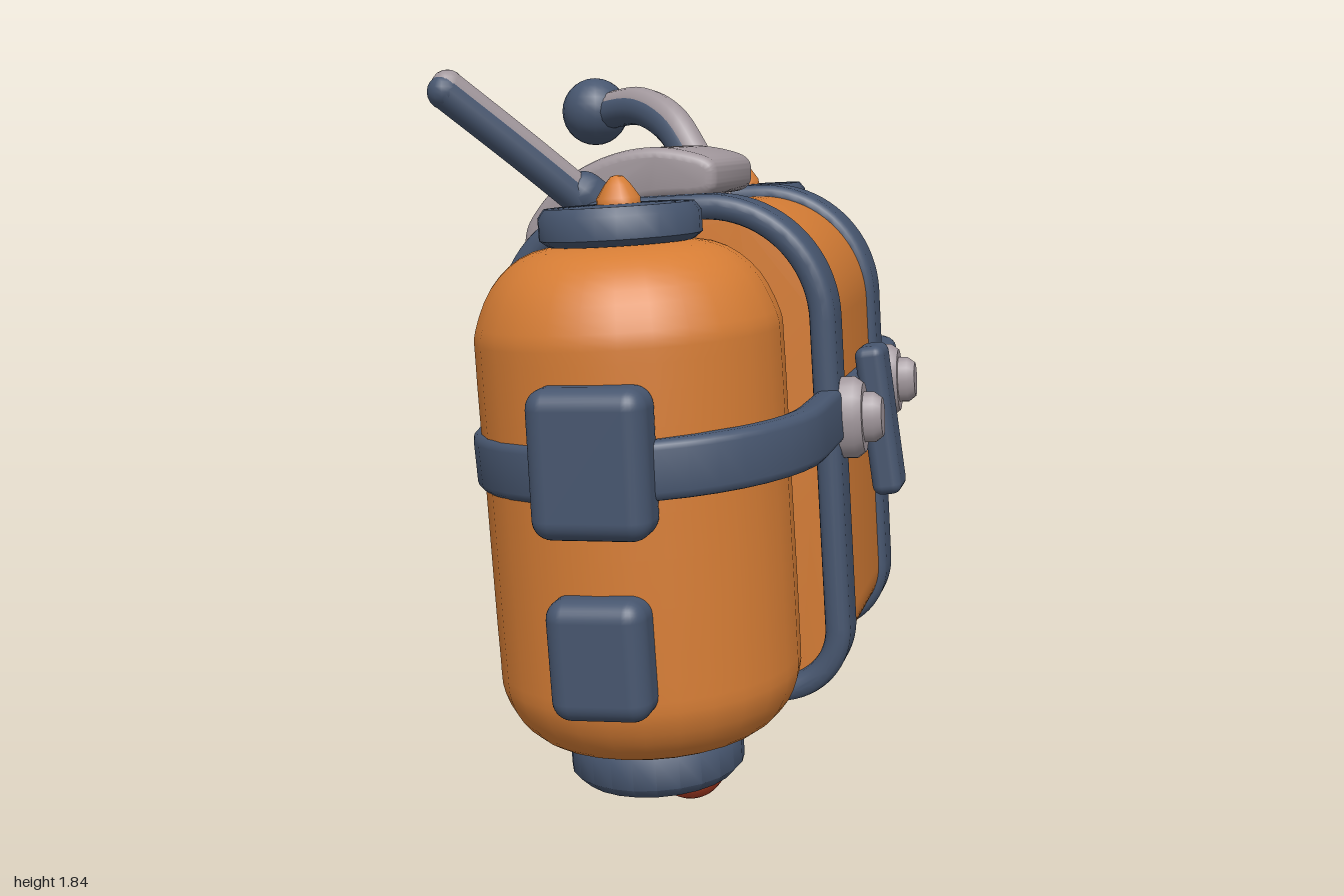
import * as THREE from 'three';
import { toCreasedNormals } from 'three/addons/utils/BufferGeometryUtils.js';
import { RoundedBoxGeometry } from 'three/addons/geometries/RoundedBoxGeometry.js';

const material = (name, color) => new THREE.MeshStandardMaterial({ name, color });
const V = (x, y, z) => new THREE.Vector3(x, y, z);

export function createModel() {
  const orange = material('orange shell', 0xd67d35);
  const navy = material('navy trim', 0x47566f);
  const grey = material('grey metal', 0xa1979c);
  const red = material('red ball', 0xb34026);

  const model = new THREE.Group();
  model.name = 'twinTankPack';
  // Everything except the handles and the top pad leans slightly to one side
  const pack = new THREE.Group();
  pack.name = 'leaningPack';
  pack.position.x = 0.085;
  pack.rotation.z = 0.065;
  model.add(pack);

  function add(name, geometry, mat, x = 0, y = 0, z = 0, parent = pack) {
    const mesh = new THREE.Mesh(geometry, mat);
    mesh.name = name;
    mesh.position.set(x, y, z);
    parent.add(mesh);
    return mesh;
  }
  const lathe = (points, segments = 24) =>
    new THREE.LatheGeometry(points.map(([r, y]) => new THREE.Vector2(r, y)), segments);

  // Softly bevelled extrusion centred on its depth
  function extrude(shape, depth, bevel) {
    const geometry = new THREE.ExtrudeGeometry(shape, {
      depth: depth - 2 * bevel, bevelThickness: bevel, bevelSize: bevel,
      bevelOffset: -bevel, bevelSegments: 3, curveSegments: 10,
    });
    geometry.translate(0, 0, bevel - depth / 2);
    return toCreasedNormals(geometry, 0.8);
  }

  // Upright outline with wide upper and tighter lower corners
  function outline(half, bottom, top, rTop, rBottom, path = new THREE.Shape()) {
    path.moveTo(-half + rBottom, bottom);
    path.lineTo(half - rBottom, bottom);
    path.absarc(half - rBottom, bottom + rBottom, rBottom, -Math.PI / 2, 0);
    path.lineTo(half, top - rTop);
    path.absarc(half - rTop, top - rTop, rTop, 0, Math.PI / 2);
    path.lineTo(-half + rTop, top);
    path.absarc(-half + rTop, top - rTop, rTop, Math.PI / 2, Math.PI);
    path.lineTo(-half, bottom + rBottom);
    path.absarc(-half + rBottom, bottom + rBottom, rBottom, Math.PI, Math.PI * 1.5);
    return path;
  }

  // Central body and its two upright bands
  add('centralBody', extrude(outline(0.408, 0.31, 1.515, 0.29, 0.17), 0.68, 0.02), orange, 0, 0, -0.06);
  for (const z of [0.255, -0.365]) {
    const ring = outline(0.427, 0.285, 1.545, 0.31, 0.19);
    ring.holes.push(outline(0.365, 0.345, 1.485, 0.25, 0.13, new THREE.Path()));
    add('uprightBand', extrude(ring, 0.14, 0.025), navy, 0, 0, z);
  }

  // Tanks with lids, finials and base discs
  const tankProfile = new THREE.SplineCurve([
    [0.001, 0.3], [0.2, 0.31], [0.29, 0.345], [0.345, 0.43], [0.352, 0.55], [0.352, 0.9],
    [0.352, 1.2], [0.344, 1.29], [0.29, 1.39], [0.19, 1.45], [0.001, 1.46],
  ].map(([r, y]) => new THREE.Vector2(r, y))).getPoints(36);
  for (const z of [0.575, -0.625]) {
    add('tank', new THREE.LatheGeometry(tankProfile, 28), orange, 0, 0, z);
    const lidZ = z < 0 ? z - 0.012 : z + 0.01;
    add('tankLid', toCreasedNormals(lathe([[0.13, 1.42], [0.13, 1.455], [0.165, 1.455],
      [0.185, 1.47], [0.185, 1.52], [0.17, 1.54], [0, 1.543]]), 0.8), navy, 0, 0, lidZ);
    add('finial', lathe([[0.05, 1.535], [0.05, 1.555], [0.03, 1.585], [0.014, 1.603], [0, 1.606]], 14),
      orange, 0, 0, lidZ);
    add('baseDisc', toCreasedNormals(lathe([[0, 0.205], [0.18, 0.205], [0.205, 0.23],
      [0.205, 0.3], [0.185, 0.325], [0, 0.33]]), 0.8), navy, 0, 0, z);
  }
  add('baseBridge', new RoundedBoxGeometry(0.26, 0.105, 1.2, 3, 0.03), navy, 0, 0.272, -0.03);

  // Clawed ball feet
  for (const z of [0.255, -0.345]) {
    for (const sx of [-1, 1]) for (const sz of [-1, 1]) {
      const start = V(-0.01, 0.25, z);
      const end = V(-0.01 + sx * 0.095, 0.17, z + sz * 0.11);
      const claw = add('footClaw', new THREE.CapsuleGeometry(0.042, start.distanceTo(end), 4, 10), navy);
      claw.position.copy(start).lerp(end, 0.5);
      claw.quaternion.setFromUnitVectors(V(0, 1, 0), end.sub(start).normalize());
    }
    add('footBall', new THREE.SphereGeometry(0.095, 24, 16), red, -0.015, 0.1, z);
  }

  // Strap running around both tanks
  function stadium(r, path) {
    path.absarc(0, 0.6, r, 0, Math.PI);
    path.absarc(0, -0.535, r, Math.PI, Math.PI * 2);
    path.closePath();
    return path;
  }
  const strapShape = stadium(0.41, new THREE.Shape());
  strapShape.holes.push(stadium(0.345, new THREE.Path()));
  const strap = add('tankStrap', extrude(strapShape, 0.13, 0.02).rotateX(-Math.PI / 2), navy, 0.026, 0.992, 0);
  strap.rotation.z = 0.025;

  // Front pads
  const upperPad = add('upperPad', new RoundedBoxGeometry(0.265, 0.325, 0.13, 4, 0.045), navy, 0.012, 1.018, 0.934);
  upperPad.rotation.z = -0.02;
  add('lowerPad', new RoundedBoxGeometry(0.225, 0.27, 0.13, 4, 0.045), navy, 0, 0.592, 0.925);

  // Side studs and latch
  for (const z of [0.255, -0.362]) {
    const stud = new THREE.Group();
    stud.name = 'strapStud';
    stud.position.set(0.402, 0.99, z);
    stud.rotation.z = -Math.PI / 2;
    stud.scale.z = 0.68;
    pack.add(stud);
    const tier = (r, y0, y1) => toCreasedNormals(
      lathe([[0, y0], [r, y0], [r, y1 - 0.02], [r - 0.015, y1], [0, y1]], 20), 0.9);
    add('studBase', tier(0.1, 0, 0.078), grey, 0, 0, 0, stud);
    add('studCap', tier(0.062, 0.06, 0.122), grey, 0, 0, 0, stud);
  }
  const latch = add('latch', new RoundedBoxGeometry(0.075, 0.385, 0.13, 3, 0.025), navy, 0.475, 0.94, -0.022);
  latch.rotation.z = 0.09;

  // Curved pad over the top shoulder
  const padShape = new THREE.Shape();
  padShape.moveTo(-0.4, 1.39);
  padShape.splineThru([[-0.385, 1.47], [-0.3, 1.57], [-0.18, 1.635], [-0.05, 1.658], [0.08, 1.635],
    [0.108, 1.59], [0.08, 1.54], [-0.08, 1.525], [-0.24, 1.47], [-0.35, 1.38], [-0.385, 1.375]]
    .map(([x, y]) => new THREE.Vector2(x, y)));
  padShape.closePath();
  add('shoulderPad', extrude(padShape, 0.42, 0.025), grey, 0, 0, -0.03, model);

  // Handles: grey stalk with a navy underside
  function stalk(name, points, radius, under) {
    const path = new THREE.CatmullRomCurve3(points);
    const tip = points[points.length - 1];
    for (const [part, mat, shift] of [['Stalk', grey, V(0, 0, 0)], ['Underside', navy, under]]) {
      add(name + part, new THREE.TubeGeometry(path, 20, radius, 12), mat, shift.x, shift.y, shift.z, model);
      const p = tip.clone().add(shift);
      add(name + part + 'Tip', new THREE.SphereGeometry(radius, 14, 10), mat, p.x, p.y, p.z, model);
    }
  }
  stalk('frontHandle', [V(-0.17, 1.51, 0.25), V(-0.32, 1.655, 0.35), V(-0.475, 1.8, 0.455)], 0.041,
    V(-0.004, -0.012, 0.012));
  stalk('rearHandle', [V(0.0, 1.5, -0.315), V(-0.08, 1.62, -0.345), V(-0.16, 1.72, -0.395),
    V(-0.27, 1.77, -0.47), V(-0.42, 1.755, -0.56)], 0.048, V(-0.006, -0.012, 0.004));
  const ferrule = add('frontHandleFerrule', new THREE.CapsuleGeometry(0.058, 0.03, 5, 14), navy,
    -0.195, 1.535, 0.262, model);
  ferrule.quaternion.setFromUnitVectors(V(0, 1, 0), V(-0.305, 0.29, 0.205).normalize());
  add('rearHandleKnob', new THREE.SphereGeometry(0.097, 20, 14), navy, -0.445, 1.75, -0.572, model);

  return model;
}
